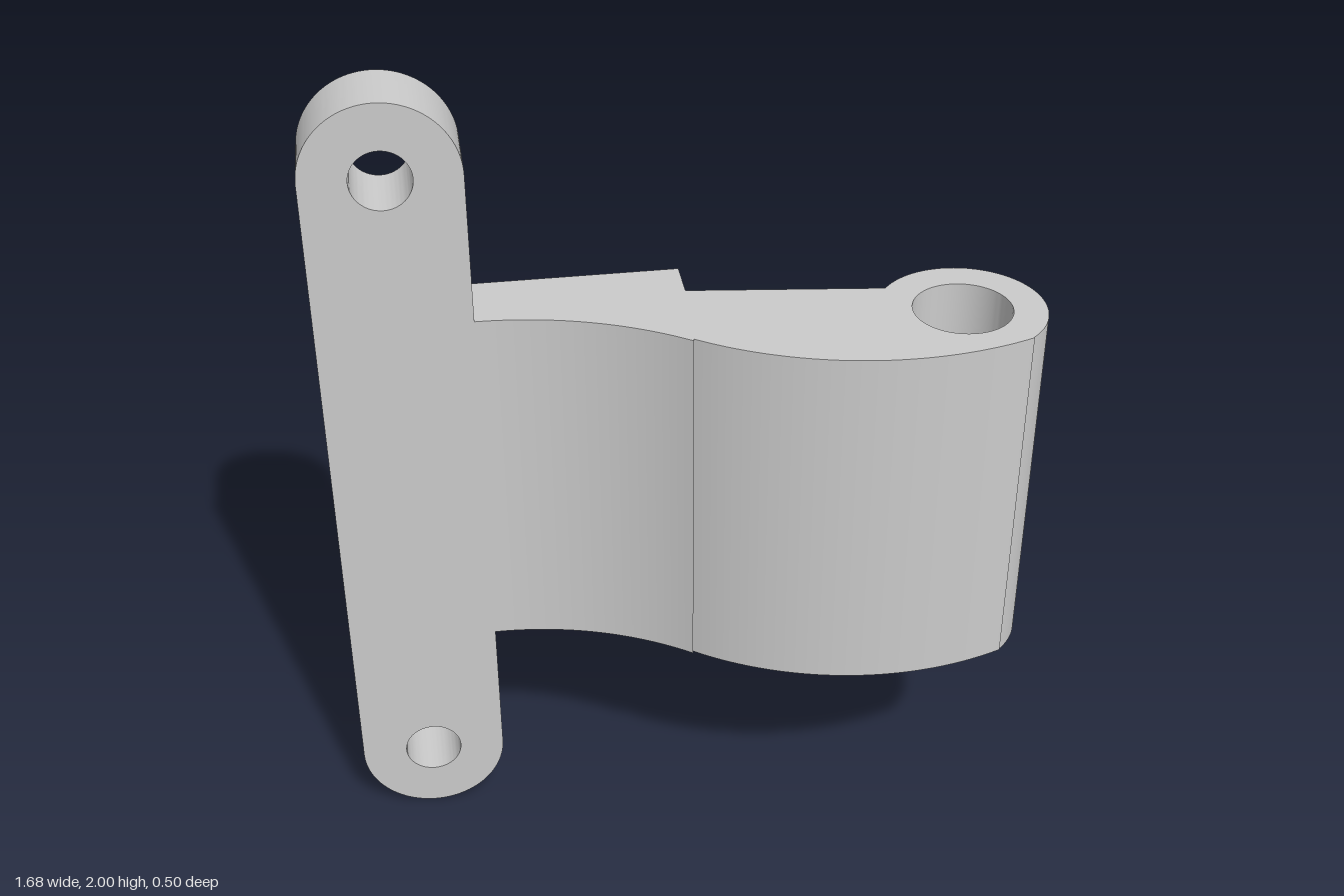
import * as THREE from 'three';
import { toCreasedNormals } from 'three/addons/utils/BufferGeometryUtils.js';

const material = new THREE.MeshStandardMaterial({ color: 0xcccccc });

function hole(x, y, r) {
  return new THREE.Path().absarc(x, y, r, 0, Math.PI * 2, true);
}

function extrude(shape, depth) {
  return new THREE.ExtrudeGeometry(shape, { depth, bevelEnabled: false, curveSegments: 40 });
}

function addPart(group, name, geometry) {
  const mesh = new THREE.Mesh(toCreasedNormals(geometry, 0.4), material);
  mesh.name = name;
  group.add(mesh);
}

export function createModel() {
  const group = new THREE.Group();
  group.name = 'hingeLeaf';

  // Mounting plate: upright slot shape with a screw hole at each end
  const plateX = -0.659, plateR = 0.182, back = -0.25, front = -0.068;
  const plate = new THREE.Shape();
  plate.absarc(plateX, 2 - plateR, plateR, 0, Math.PI, false);
  plate.absarc(plateX, plateR, plateR, Math.PI, Math.PI * 2, false);
  plate.closePath();
  for (const y of [plateR, 2 - plateR]) plate.holes.push(hole(plateX, y, 0.071));
  addPart(group, 'mountingPlate', extrude(plate, front - back).translate(0, 0, back));

  // Curved arm with pin barrel: profile drawn in x and z, extruded along y
  const armX = plateX + plateR, bottom = 0.548, top = 1.452;
  const pin = [0.643, 0.042], sweepR = 0.802;
  const bend = Math.atan2(0.641, 0.483);
  const arm = new THREE.Shape();
  arm.moveTo(armX, back);
  arm.lineTo(0.022, back);
  arm.lineTo(0.022, -0.14); // step on the back
  arm.absarc(...pin, 0.197, Math.atan2(-0.122, -0.155), Math.atan2(0.153, 0.123), false);
  arm.absarc(0.489, -0.555, sweepR, Math.atan2(0.75, 0.278), Math.PI - bend, false);
  arm.absarc(armX, front + sweepR, sweepR, -bend, -Math.PI / 2, true);
  arm.closePath();
  arm.holes.push(hole(...pin, 0.117));
  addPart(group, 'barrelArm', extrude(arm, top - bottom).rotateX(Math.PI / 2).translate(0, top, 0));

  return group;
}
